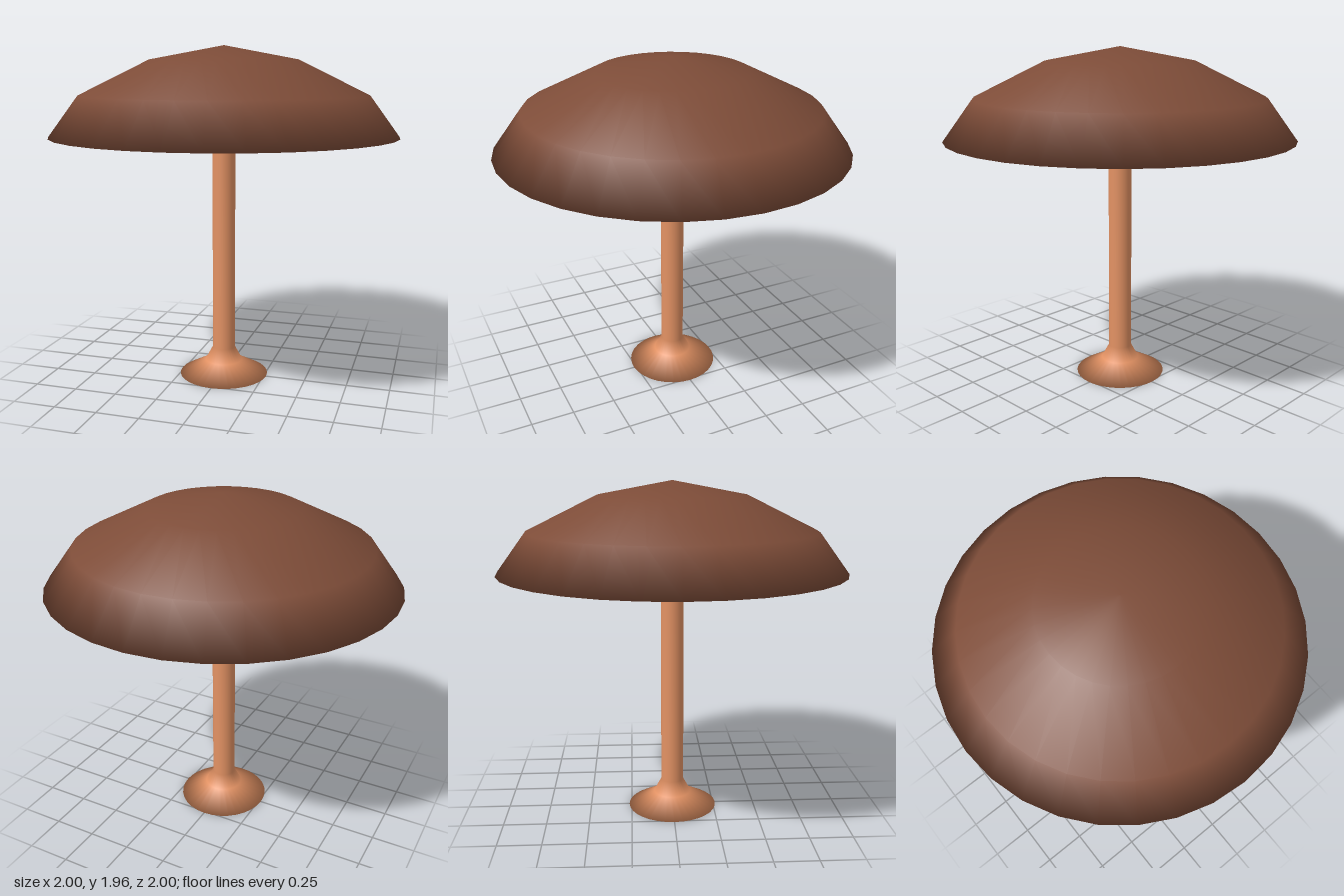
import * as THREE from 'three';
import { mergeVertices } from 'three/addons/utils/BufferGeometryUtils.js';

const SIDES = 32;

// Turned solid whose normals are smooth all over, rims included
function turned(profile) {
  const lathe = new THREE.LatheGeometry(profile.map(([r, y]) => new THREE.Vector2(r, y)), SIDES);
  lathe.deleteAttribute('uv');
  lathe.deleteAttribute('normal');
  const geometry = mergeVertices(lathe, 1e-4);
  geometry.computeVertexNormals();
  return geometry;
}

function material(name, color, extra = {}) {
  const m = new THREE.MeshStandardMaterial({ color, ...extra });
  m.name = name;
  return m;
}

export function createModel() {
  const model = new THREE.Group();
  model.name = 'mushroom';

  const add = (name, profile, mat) => {
    const mesh = new THREE.Mesh(turned(profile), mat);
    mesh.name = name;
    model.add(mesh);
  };

  // Stem with flared foot
  add('stem', [
    [0, 0], [0.265, 0], [0.11, 0.085], [0.067, 0.165], [0.067, 1.63], [0, 1.63],
  ], material('terracotta', 0xe09062));

  // Cap: hollow underside, then the faceted dome
  add('cap', [
    [0, 1.62], [0.317, 1.62], [0.7, 1.525], [1, 1.45],
    [0.83, 1.68], [0.425, 1.88], [0, 1.96],
  ], material('brown', 0x7d4c38));

  // Dark gill ring just under the cap's hollow
  add('gills', [
    [0.317, 1.614], [0.7, 1.519], [0.845, 1.483],
  ], material('dark brown', 0x483428, { side: THREE.DoubleSide }));
  // Turn the ring's faces downward
  const gills = model.getObjectByName('gills').geometry;
  gills.index.array.reverse();
  gills.computeVertexNormals();

  return model;
}
